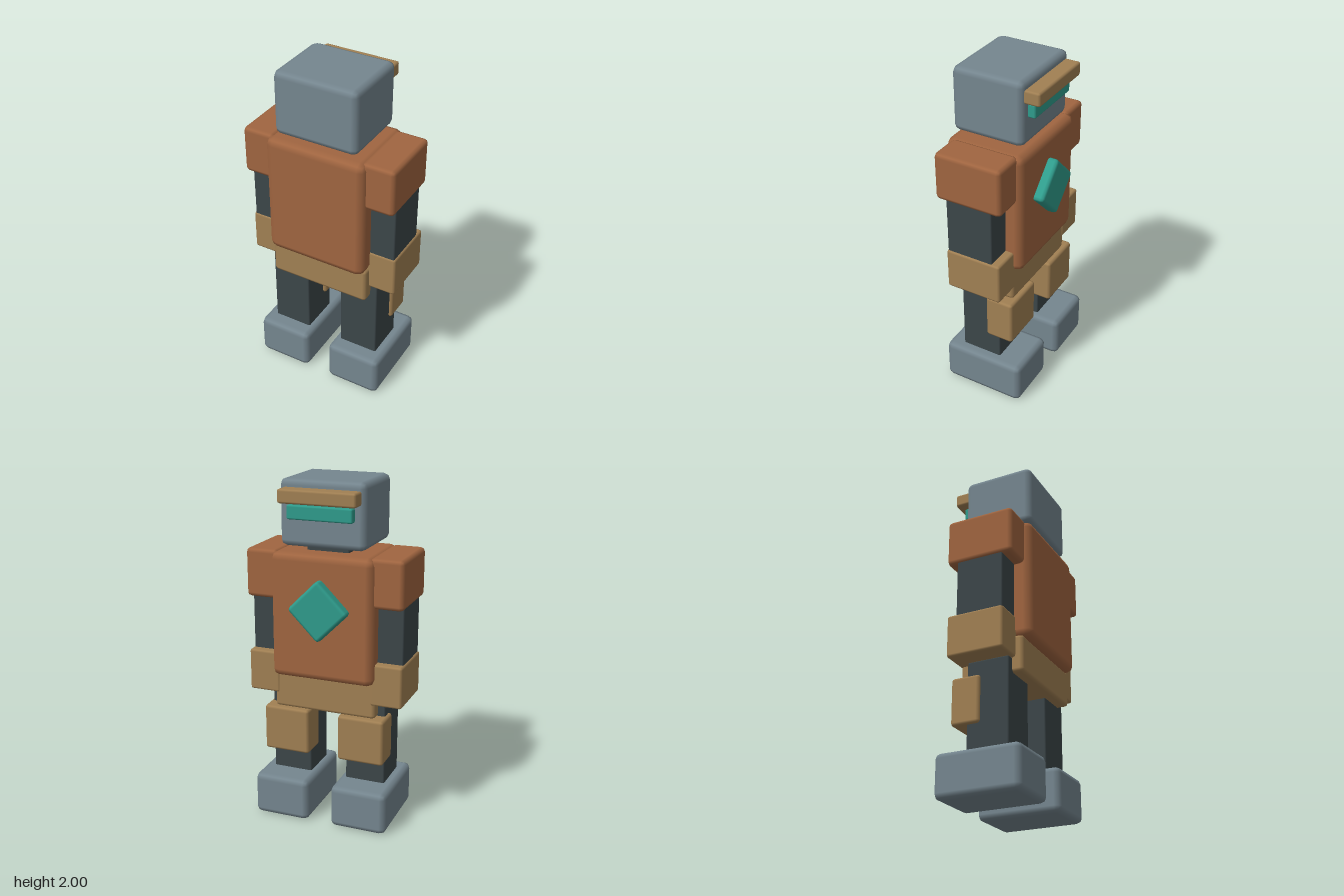
import * as THREE from 'three';
import { RoundedBoxGeometry } from 'three/addons/geometries/RoundedBoxGeometry.js';

const paint = (color) => new THREE.MeshStandardMaterial({ color });

export function createModel() {
  const model = new THREE.Group();
  model.name = 'robot';
  const steel = paint(0x75868f);
  const rust = paint(0xa06540);
  const bronze = paint(0xa18053);
  const dark = paint(0x3c4649);
  const teal = paint(0x2f9c8c);

  // Bevelled block given by its extents on each axis
  function block(name, material, [x0, x1], [y0, y1], [z0, z1], bevel) {
    const geometry = new RoundedBoxGeometry(x1 - x0, y1 - y0, z1 - z0, 1, bevel);
    const mesh = new THREE.Mesh(geometry, material);
    mesh.name = name;
    mesh.position.set((x0 + x1) / 2, (y0 + y1) / 2, (z0 + z1) / 2);
    model.add(mesh);
    return mesh;
  }

  // Same block on both sides of the body
  function pair(name, material, [x0, x1], y, z, bevel) {
    block('left' + name, material, [x0, x1], y, z, bevel);
    block('right' + name, material, [-x1, -x0], y, z, bevel);
  }

  // Head, neck and trunk
  block('head', steel, [-0.25, 0.25], [1.63, 2], [-0.18, 0.245], 0.035);
  block('neck', dark, [-0.125, 0.125], [1.55, 1.68], [-0.09, 0.15], 0.008);
  block('torso', rust, [-0.305, 0.305], [0.87, 1.6], [-0.205, 0.267], 0.045);
  block('pelvis', bronze, [-0.305, 0.305], [0.67, 0.885], [-0.155, 0.22], 0.02);

  // Face: brow over a glowing eye band
  block('brow', bronze, [-0.225, 0.225], [1.877, 1.955], [-0.265, -0.15], 0.013);
  block('eyeBand', teal, [-0.19, 0.19], [1.787, 1.866], [-0.222, -0.15], 0.01);

  // Diamond chest plate
  const plate = block('chestPlate', teal, [-0.126, 0.126], [1.169, 1.421], [-0.265, -0.19], 0.02);
  plate.rotation.z = Math.PI / 4;

  // Arms
  pair('Shoulder', rust, [0.27, 0.465], [1.32, 1.6], [-0.172, 0.23], 0.024);
  pair('Arm', dark, [0.285, 0.453], [0.86, 1.4], [-0.11, 0.17], 0.008);
  pair('Hand', bronze, [0.275, 0.463], [0.755, 1], [-0.16, 0.176], 0.014);

  // Legs
  pair('Leg', dark, [0.11, 0.347], [0.2, 0.755], [-0.09, 0.157], 0.008);
  pair('KneePad', bronze, [0.09, 0.365], [0.4, 0.672], [-0.18, -0.01], 0.017);
  pair('Foot', steel, [0.07, 0.407], [0, 0.253], [-0.25, 0.25], 0.034);

  return model;
}
